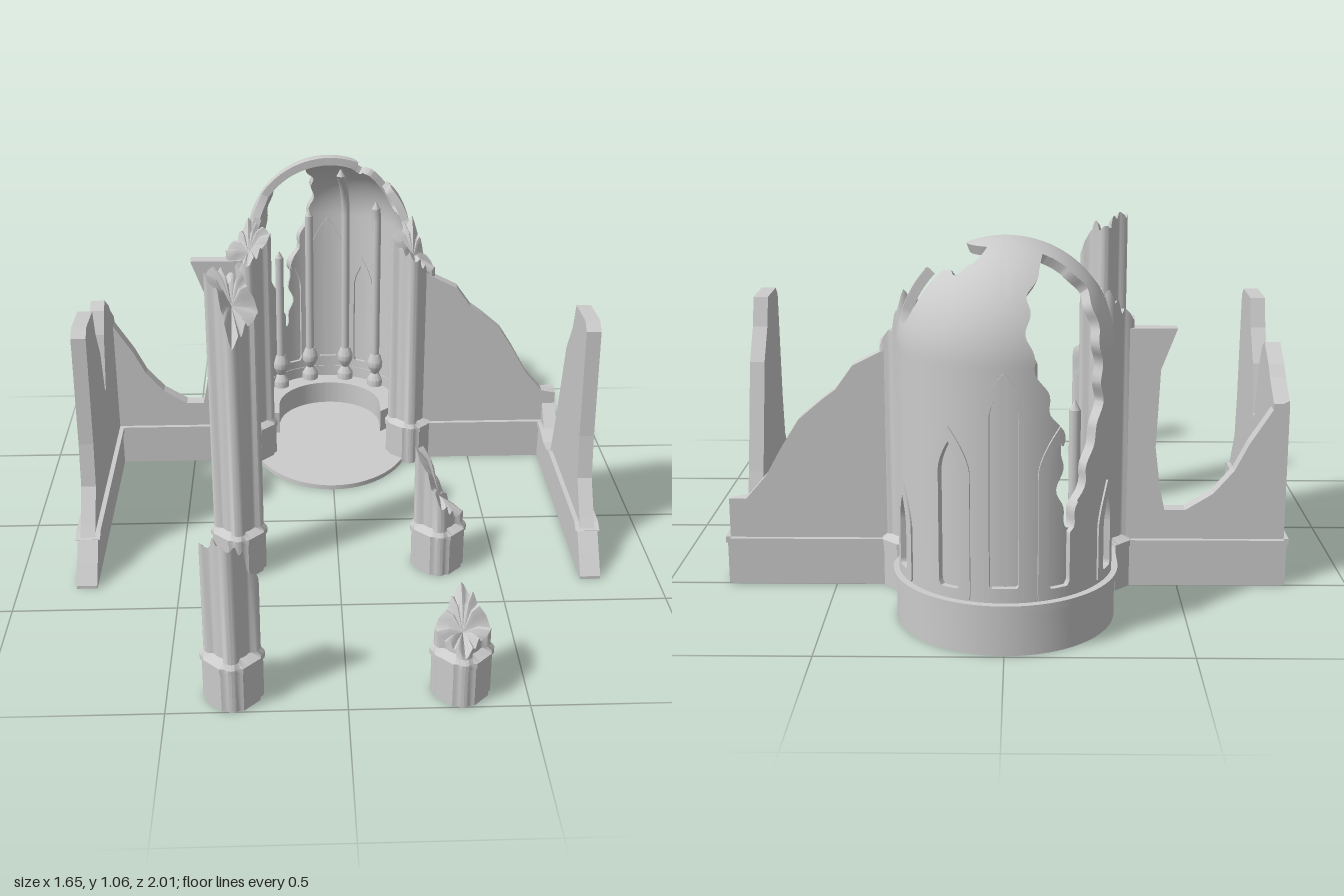
import * as THREE from 'three';
import { toCreasedNormals } from 'three/addons/utils/BufferGeometryUtils.js';

const CZ = -0.69, SPRING = 0.77, R = 0.29, Q = R * Math.PI / 2;
const mat = new THREE.MeshStandardMaterial({ color: 0xcccccc });
const rad = THREE.MathUtils.degToRad;

function add(parent, name, geo, x = 0, y = 0, z = 0) {
  const m = new THREE.Mesh(geo, mat);
  m.name = name;
  m.position.set(x, y, z);
  parent.add(m);
  return m;
}

function fromTriangles(pos, crease = 0.6) {
  const g = new THREE.BufferGeometry();
  g.setAttribute('position', new THREE.Float32BufferAttribute(pos, 3));
  return toCreasedNormals(g, crease);
}

// piecewise linear lookup in [[key, value], ...]
function lerpTable(table, k) {
  if (k <= table[0][0]) return table[0][1];
  for (let i = 1; i < table.length; i++) {
    const [a, va] = table[i - 1], [b, vb] = table[i];
    if (k <= b) return va + (vb - va) * (k - a) / (b - a);
  }
  return table[table.length - 1][1];
}

// apse surface: s runs along the U-shaped plan, t up the wall and over the half dome
function apsePoint(s, t, r) {
  const phi = Math.max(0, t - SPRING) / R;
  const rr = r * Math.cos(phi), y = Math.min(t, SPRING) + r * Math.sin(phi);
  const c = THREE.MathUtils.clamp(s, -Q, Q) / R;
  return [rr * Math.sin(c), y, CZ - rr * Math.cos(c) + Math.max(0, Math.abs(s) - Q)];
}

// shell between two radii, kept where f(s, t) > 0 and closed along its broken edges
function apseShell(f, rIn, rOut, [s0, s1, ns], [t0, t1, nt]) {
  const pos = [];
  const S = i => s0 + (s1 - s0) * i / ns, T = j => t0 + (t1 - t0) * j / nt;
  const tri = (a, b, c) => pos.push(...a, ...b, ...c);
  for (let i = 0; i < ns; i++) for (let j = 0; j < nt; j++) {
    const q = [[i, j], [i + 1, j], [i + 1, j + 1], [i, j + 1]].map(([a, b]) => [S(a), T(b), f(S(a), T(b))]);
    const poly = [];
    q.forEach((a, k) => {
      const b = q[(k + 1) % 4];
      if (a[2] > 0) poly.push([a[0], a[1], false]);
      if ((a[2] > 0) !== (b[2] > 0)) {
        const m = a[2] / (a[2] - b[2]);
        poly.push([a[0] + (b[0] - a[0]) * m, a[1] + (b[1] - a[1]) * m, true]);
      }
    });
    const inn = poly.map(p => apsePoint(p[0], p[1], rIn)), out = poly.map(p => apsePoint(p[0], p[1], rOut));
    for (let k = 1; k + 1 < poly.length; k++) {
      tri(inn[0], inn[k], inn[k + 1]);
      tri(out[0], out[k + 1], out[k]);
    }
    poly.forEach((p, k) => {
      const n = (k + 1) % poly.length;
      if (!p[2] || !poly[n][2]) return;
      tri(inn[n], inn[k], out[k]);
      tri(inn[n], out[k], out[n]);
    });
  }
  return fromTriangles(pos);
}

// U-shaped plan extruded upwards
function planRing(rOut, rIn, zEnd, h) {
  const s = new THREE.Shape();
  s.moveTo(rOut, -zEnd);
  s.absarc(0, -CZ, rOut, 0, Math.PI, false);
  s.lineTo(-rOut, -zEnd);
  s.lineTo(-rIn, -zEnd);
  s.absarc(0, -CZ, rIn, Math.PI, 0, true);
  s.lineTo(rIn, -zEnd);
  const g = new THREE.ExtrudeGeometry(s, { depth: h, bevelEnabled: false, curveSegments: 40 });
  return toCreasedNormals(g.rotateX(-Math.PI / 2), 0.6);
}

function buildApse() {
  const g = new THREE.Group();
  g.name = 'apse';
  const windows = [[0, 0.17, 0.74, 0.052], [29, 0.16, 0.59, 0.045], [-29, 0.16, 0.59, 0.045],
    [68, 0.16, 0.4, 0.04], [-68, 0.16, 0.4, 0.04]].map(([deg, sill, top, hw]) => ({ c: rad(deg) * R, sill, top, hw }));
  // negative inside the pointed opening
  const opening = (w, s, t) => {
    const k = Math.max(0, t - (w.top - 0.1)) / 0.1;
    return Math.max(Math.abs(s - w.c) - w.hw * (1 - k ** 1.6), w.sill - t);
  };
  const breach = (s, t) => {
    const w = lerpTable([[0.25, -0.08], [0.33, 0], [0.42, 0.035], [0.55, 0.05], [0.64, 0.09], [0.8, 0.115], [0.95, 0.12], [1.02, 0.08], [1.08, 0], [1.2, -0.1]], t);
    return Math.abs(s + 0.2 + 0.02 * Math.sin(t * 13)) - w - 0.008 * Math.sin(t * 61);
  };
  const tops = [[-0.64, 0.8], [-0.6, 0.9], [-0.56, 0.87], [-0.5, 0.93], [-0.465, 0.95], [-0.455, 1.225], [0.1, 1.225], [0.14, 1.04],
    [0.22, 1.0], [0.27, 1.03], [0.31, 0.9], [0.36, 0.83], [0.42, 0.86], [0.455, 1.0], [0.5, 0.98], [0.53, 0.85], [0.64, 0.79]];
  const broken = (s, t) => {
    const top = lerpTable(tops, s) + (s > 0.12 ? 0.012 * Math.sin(s * 90) : 0) - t;
    const crown = Math.abs(s) < Q ? Math.min(t - 1.12, 1.225 - t) : -1;
    return Math.min(Math.max(top, crown), breach(s, t), 0.64 - Math.abs(s));
  };
  const wall = (s, t) => Math.min(broken(s, t), ...windows.map(w => opening(w, s, t)));
  add(g, 'apseWallAndHalfDome', apseShell(wall, 0.265, 0.292, [-0.66, 0.66, 110], [0, 1.23, 100]));
  windows.forEach((w, i) => {
    const ranges = [[w.c - 0.08, w.c + 0.08, 20], [0.12, w.top + 0.06, 40]];
    add(g, 'windowFrame', apseShell((s, t) => Math.min(0.014 - Math.abs(opening(w, s, t)), breach(s, t)), 0.262, 0.297, ...ranges));
    if (i < 3) add(g, 'windowPanel', apseShell((s, t) => Math.min(-opening(w, s, t), breach(s, t)), 0.274, 0.281, ...ranges));
  });
  add(g, 'apsePlinth', planRing(0.303, 0.262, -0.45, 0.13));
  add(g, 'plinthMoulding', planRing(0.312, 0.262, -0.45, 0.018), 0, 0.124);
  add(g, 'bench', planRing(0.266, 0.19, -0.62, 0.1));
  add(g, 'floor', new THREE.CylinderGeometry(1, 1, 0.016, 64).scale(0.295, 1, 0.385), 0, 0.008, -0.595);

  // slender shafts on turned pedestals, running into ribs under the dome
  const vase = [[0, 0.1], [0.03, 0.1], [0.03, 0.125], [0.014, 0.15], [0.03, 0.18], [0.03, 0.2], [0.018, 0.23], [0, 0.23]];
  [[-47, 0.63], [-16, 0.77], [16, 1.0], [47, 0.83]].forEach(([deg, top]) => {
    const pts = [];
    for (let k = 0; k <= 16; k++) pts.push(new THREE.Vector3(...apsePoint(rad(deg) * R, 0.2 + (top - 0.2) * k / 16, 0.25)));
    const tube = new THREE.TubeGeometry(new THREE.CatmullRomCurve3(pts), 24, 0.016, 10);
    add(g, 'colonnette', tube);
    const end = pts[16];
    add(g, 'colonnetteBrokenTip', new THREE.ConeGeometry(0.016, 0.03, 10), end.x, end.y + 0.012, end.z);
    const lathe = new THREE.LatheGeometry(vase.map(p => new THREE.Vector2(...p)), 12);
    add(g, 'colonnettePedestal', toCreasedNormals(lathe, 0.6), pts[0].x, 0, pts[0].z);
  });
  return g;
}

// broken wall: thin upper part, thicker plinth and a moulding, from one ragged outline
function buildWall(name, pts, alongZ) {
  const g = new THREE.Group();
  g.name = name;
  const slab = (part, list, lo, depth) => {
    const a = list[0], b = list[list.length - 1];
    const s = new THREE.Shape([[a[0], lo], ...list, [b[0], lo]].map(p => new THREE.Vector2(...p)));
    add(g, part, new THREE.ExtrudeGeometry(s, { depth, bevelEnabled: false }).translate(0, 0, -depth / 2));
  };
  slab('wall', pts, 0, 0.046);
  slab('plinth', pts.map(([u, y]) => [u, Math.min(y, 0.13)]), 0, 0.064);
  slab('moulding', pts.filter(p => p[1] > 0.115).map(([u, y]) => [u, THREE.MathUtils.clamp(y, 0.125, 0.142)]), 0.124, 0.076);
  if (alongZ) g.rotation.y = -Math.PI / 2;
  return g;
}

// clustered column: octagonal plinth, four attached shafts, ragged top given in eight directions from +x towards +z
function buildColumn(name, x, z, tops) {
  const N = 64, pos = [];
  const lobes = (a, core, c, r) => {
    const d = a - Math.round(a / (Math.PI / 2)) * Math.PI / 2, k = c * Math.sin(d);
    return Math.abs(k) < r ? Math.max(core, c * Math.cos(d) + Math.sqrt(r * r - k * k)) : core;
  };
  const plinth = a => lobes(a, 0.074 / Math.cos(a - Math.round(a / (Math.PI / 4)) * Math.PI / 4), 0.066, 0.018);
  const shaft = a => lobes(a, 0.053, 0.056, 0.022);
  const height = a => {
    const k = a / (Math.PI / 4), i = Math.floor(k);
    return tops[i % 8] + (tops[(i + 1) % 8] - tops[i % 8]) * (k - i) + 0.012 * Math.sin(a * 11);
  };
  const mean = tops.reduce((a, b) => a + b) / 8;
  const rows = [[0, () => 0], [0, plinth], [0.125, plinth], [0.125, a => plinth(a) * 1.06], [0.142, a => plinth(a) * 1.06],
    [0.155, shaft], [9, shaft], [9, a => shaft(a) * 0.55], [mean - 0.03, () => 0]];
  const P = (i, j) => {
    const a = (i % N) / N * Math.PI * 2, r = rows[j][1](a);
    let y = j === 8 ? rows[j][0] : Math.min(rows[j][0], height(a));
    if (j === 7) y = y * 0.7 + mean * 0.3;
    return [r * Math.cos(a), y, r * Math.sin(a)];
  };
  for (let i = 0; i < N; i++) for (let j = 0; j < 8; j++) {
    const a = P(i, j), b = P(i, j + 1), c = P(i + 1, j + 1), d = P(i + 1, j);
    pos.push(...a, ...b, ...c, ...a, ...c, ...d);
  }
  const m = new THREE.Mesh(fromTriangles(pos), mat);
  m.name = name;
  m.position.set(x, 0, z);
  return m;
}

export function createModel() {
  const model = new THREE.Group();
  model.name = 'ruinedChapel';
  model.add(buildApse());

  // side walls, outlined from back to front
  const frontPier = [[-0.15, 0.43], [-0.11, 0.58], [-0.04, 0.68], [-0.01, 0.77], [0.13, 0.775], [0.16, 0.75], [0.18, 0.4],
    [0.2, 0.26], [0.27, 0.16], [0.3, 0.12], [0.34, 0.07], [0.385, 0.01]];
  const left = buildWall('leftWall', [[-0.495, 0.26], [-0.45, 0.21], [-0.38, 0.14], [-0.3, 0.118], [-0.24, 0.13], [-0.2, 0.25], ...frontPier], true);
  left.position.x = 0.788;
  const right = buildWall('rightWall', [[-0.495, 0.55], [-0.41, 0.61], [-0.38, 0.64], [-0.3, 0.69], [-0.26, 0.67], [-0.22, 0.6], [-0.17, 0.42], ...frontPier], true);
  right.position.x = -0.788;

  // back walls beside the apse
  const backRight = buildWall('backWallRight', [[-0.81, 0.56], [-0.77, 0.54], [-0.7, 0.43], [-0.66, 0.35], [-0.6, 0.28], [-0.52, 0.23], [-0.46, 0.23],
    [-0.445, 0.3], [-0.43, 0.42], [-0.44, 0.65], [-0.485, 0.77], [-0.3, 0.77]], false);
  const backLeft = buildWall('backWallLeft', [[0.3, 0.76], [0.34, 0.71], [0.44, 0.66], [0.49, 0.59], [0.53, 0.56], [0.6, 0.5], [0.65, 0.42], [0.7, 0.33], [0.76, 0.26], [0.81, 0.25]], false);
  backRight.position.z = backLeft.position.z = -0.472;
  model.add(left, right, backRight, backLeft);

  [['chancelColumnLeft', 0.285, -0.475, [0.72, 0.74, 0.79, 0.8, 0.84, 0.86, 0.88, 0.78]],
    ['chancelColumnRight', -0.285, -0.475, [0.86, 0.8, 0.78, 0.74, 0.8, 0.83, 0.88, 0.87]],
    ['naveColumnTall', -0.315, 0.27, [0.87, 0.84, 0.8, 0.95, 1.0, 1.0, 0.96, 0.98]],
    ['naveColumnBroken', 0.315, 0.27, [0.18, 0.2, 0.25, 0.32, 0.42, 0.38, 0.26, 0.2]],
    ['frontColumnRight', -0.315, 0.92, [0.36, 0.48, 0.52, 0.52, 0.48, 0.24, 0.16, 0.18]],
    ['frontColumnLeft', 0.315, 0.92, [0.2, 0.18, 0.17, 0.18, 0.2, 0.26, 0.29, 0.28]],
  ].forEach(c => model.add(buildColumn(...c)));
  return model;
}
